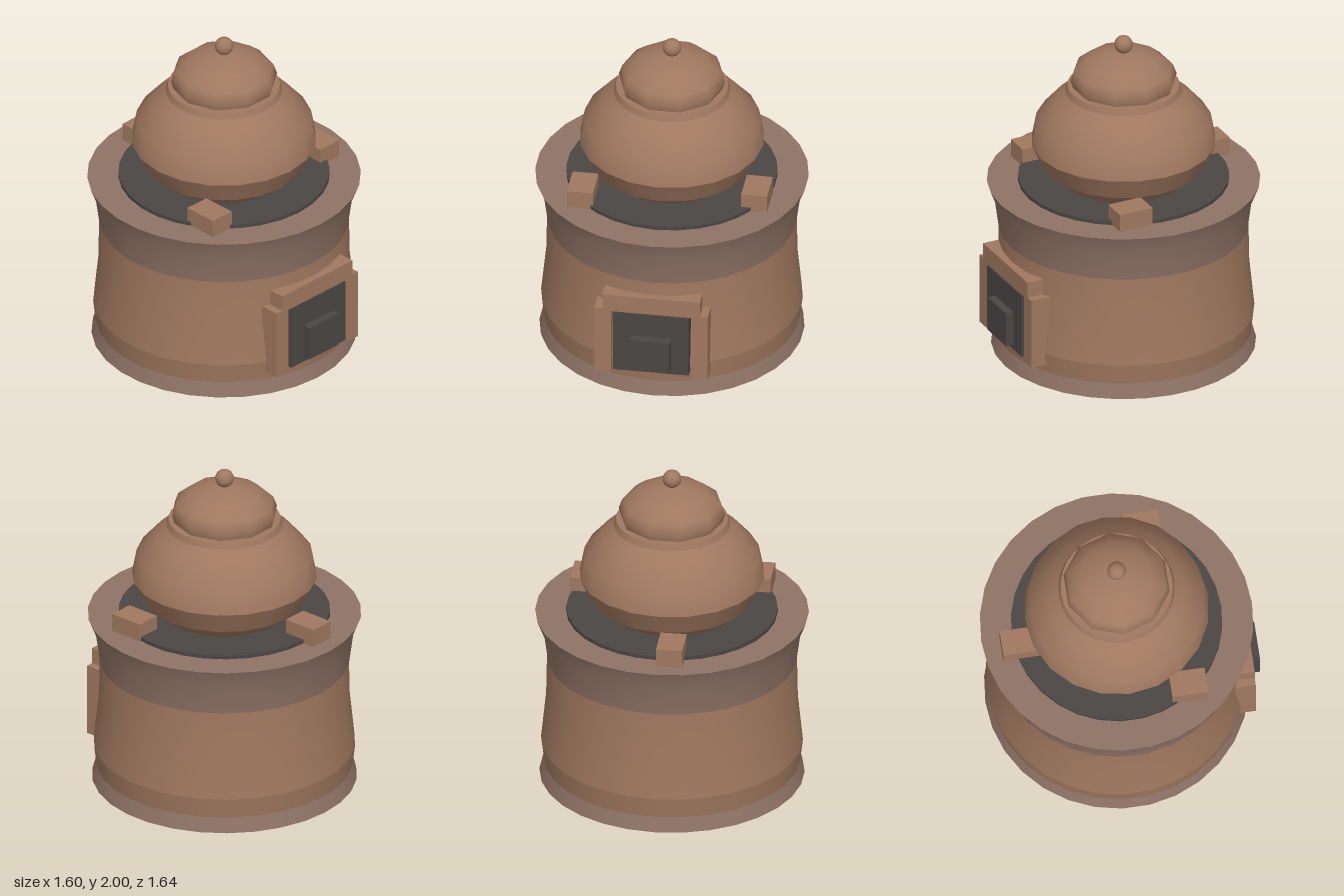
import * as THREE from 'three';
import { mergeGeometries } from 'three/addons/utils/BufferGeometryUtils.js';

const clay = new THREE.MeshStandardMaterial({ color: 0xa0785f });
const rimClay = new THREE.MeshStandardMaterial({ color: 0x8f7366 });
const soot = new THREE.MeshStandardMaterial({ color: 0x4a4644 });
const CZ = -0.015; // axis of the round parts

export function createModel() {
  const group = new THREE.Group();

  const add = (name, geometry, material, x, y, z) => {
    const mesh = new THREE.Mesh(geometry, material);
    mesh.name = name;
    mesh.position.set(x, y, z);
    group.add(mesh);
    return mesh;
  };

  // Box given by its lower and upper corners
  const block = (name, material, [x0, y0, z0], [x1, y1, z1]) =>
    add(name, new THREE.BoxGeometry(x1 - x0, y1 - y0, z1 - z0), material,
      (x0 + x1) / 2, (y0 + y1) / 2, (z0 + z1) / 2);

  // Turned part: smooth within each [radius, height] run, creased between runs
  const turned = (name, material, segments, runs, start = 0) => {
    const parts = runs.map((run) => new THREE.LatheGeometry(
      run.map(([r, y]) => new THREE.Vector2(r, y)), segments, start));
    return add(name, mergeGeometries(parts), material, 0, 0, CZ);
  };

  // Stove body
  turned('stoveBase', rimClay, 30, [
    [[0, 0], [0.78, 0]],
    [[0.78, 0], [0.755, 0.09]],
  ]);
  turned('stoveWall', clay, 30, [
    [[0.755, 0.09], [0.77, 0.215]],
    [[0.77, 0.215], [0.74, 0.51], [0.735, 0.765]],
  ]);
  turned('stoveRim', rimClay, 30, [
    [[0.735, 0.765], [0.76, 0.95], [0.805, 1.065]],
    [[0.805, 1.065], [0, 1.065]],
  ]);

  // Sooty fire opening under the pot
  turned('fireRing', soot, 30, [
    [[0.622, 1.06], [0.622, 1.088]],
    [[0.622, 1.088], [0, 1.088]],
  ]);

  // Three pot rests
  for (const [x, z] of [[-0.15, -0.71], [0.465, 0.108], [-0.552, 0.235]]) {
    block('potRest', clay, [x, 1.06, z], [x + 0.155, 1.175, z + 0.213]);
  }

  // Pot with collar
  turned('pot', clay, 20, [
    [[0, 1.085], [0.37, 1.085]],
    [[0.37, 1.085], [0.475, 1.17]],
    [[0.475, 1.17], [0.545, 1.312]],
    [[0.545, 1.312], [0.518, 1.455], [0.405, 1.585], [0.31, 1.655]],
  ]);
  turned('potCollar', clay, 30, [
    [[0.28, 1.645], [0.343, 1.645]],
    [[0.343, 1.645], [0.33, 1.682]],
    [[0.33, 1.682], [0, 1.682]],
  ]);

  // Lid and knob
  turned('lid', clay, 10, [
    [[0.3, 1.675], [0.316, 1.73], [0.295, 1.79], [0.215, 1.855], [0.1, 1.893], [0, 1.9]],
  ], Math.PI / 10);
  add('lidKnob', new THREE.SphereGeometry(0.055, 16, 12), clay, 0, 1.945, CZ);

  // Fire door surround
  for (const side of [-1, 1]) {
    const post = block('doorPost', clay, [0.24, 0.14, 0.62], [0.337, 0.582, 0.762]);
    post.position.x *= side;
  }
  block('doorLintel', clay, [-0.29, 0.568, 0.62], [0.29, 0.68, 0.763]);

  // Fire door and its hatch
  block('fireDoor', soot, [-0.225, 0.165, 0.65], [0.225, 0.567, 0.77]);
  block('doorHatch', soot, [-0.12, 0.2, 0.74], [0.12, 0.413, 0.82]);

  return group;
}
